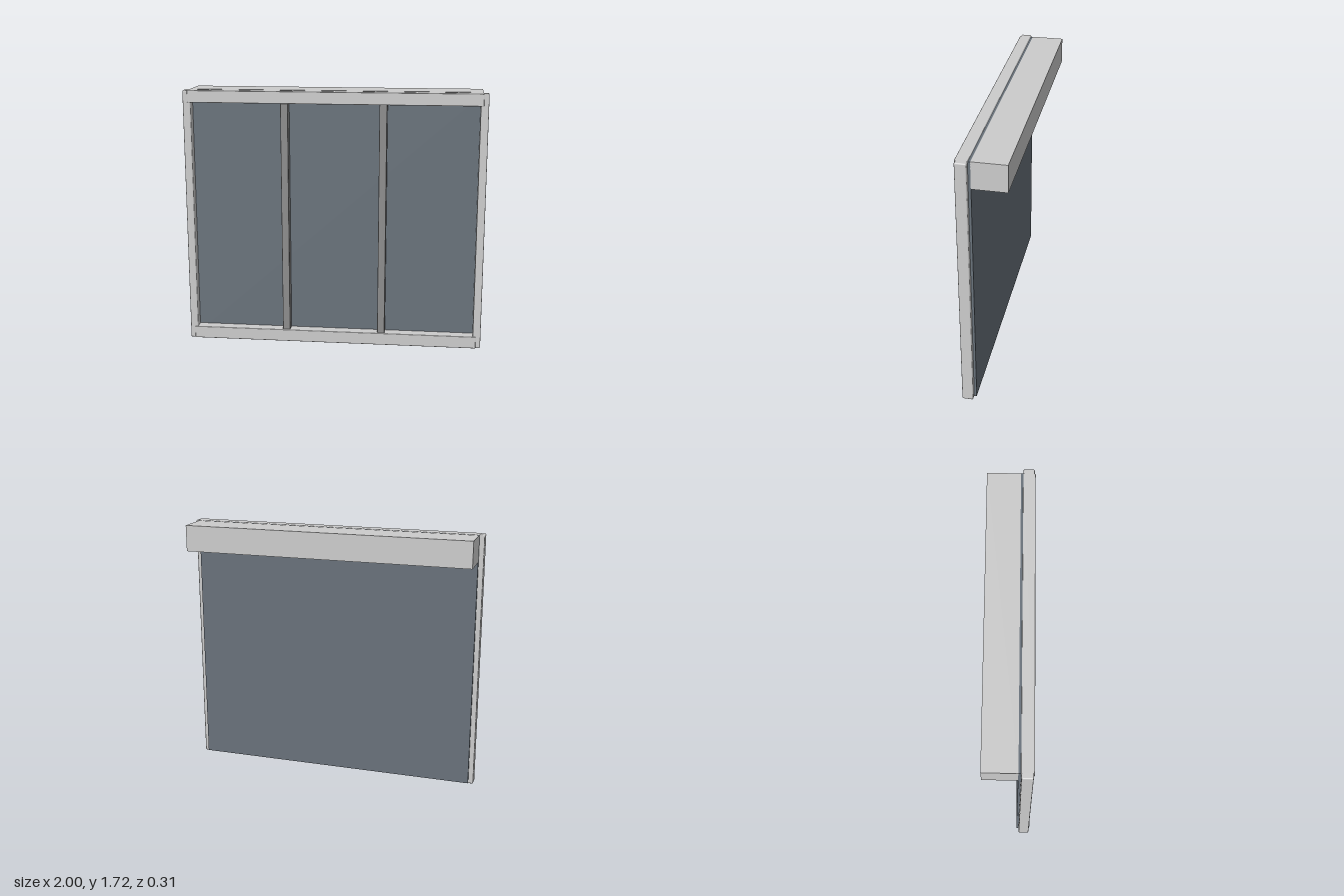
import * as THREE from 'three';
import { RoundedBoxGeometry } from 'three/addons/geometries/RoundedBoxGeometry.js';

const metal = new THREE.MeshStandardMaterial({ color: 0xcccccc });
const darkMetal = new THREE.MeshStandardMaterial({ color: 0x8c8c8c });
const glass = new THREE.MeshStandardMaterial({ color: 0x68717a });

// Box given by its minimum and maximum corners, with optional eased edges
function block(name, min, max, material, radius = 0) {
  const size = max.map((v, i) => v - min[i]);
  const geometry = radius
    ? new RoundedBoxGeometry(...size, 2, radius)
    : new THREE.BoxGeometry(...size);
  const mesh = new THREE.Mesh(geometry, material);
  mesh.name = name;
  mesh.position.set(...max.map((v, i) => (v + min[i]) / 2));
  return mesh;
}

export function createModel() {
  const model = new THREE.Group();
  model.name = 'screenWindow';

  const height = 1.72;
  const halfSpan = 0.968;

  // Front frame: horizontal rails standing slightly proud of the posts
  const frame = new THREE.Group();
  frame.name = 'frame';
  frame.add(
    block('topRail', [-halfSpan, 1.64, 0.075], [halfSpan, height, 0.154], metal, 0.004),
    block('bottomRail', [-halfSpan, 0, 0.075], [halfSpan, 0.082, 0.154], metal, 0.004)
  );

  // Side posts and intermediate mullions, mirrored about the centre
  for (const [side, s] of [['left', 1], ['right', -1]]) {
    const post = s * 0.974;
    frame.add(block(side + 'Post', [post - 0.026, 0, 0.077], [post + 0.026, height, 0.148], metal, 0.008));
    const bar = s * 0.325;
    frame.add(block(side + 'Mullion', [bar - 0.025, 0.075, 0.07], [bar + 0.025, 1.645, 0.142], darkMetal, 0.004));
  }
  model.add(frame);

  // Pane covering the back of the frame
  model.add(block('pane', [-halfSpan, 0.008, 0.06], [halfSpan, height - 0.002, 0.076], glass));

  // Roller housing along the top of the back
  model.add(block('rollerHousing', [-halfSpan, 1.545, -0.154], [halfSpan, height, 0.061], metal));

  return model;
}
